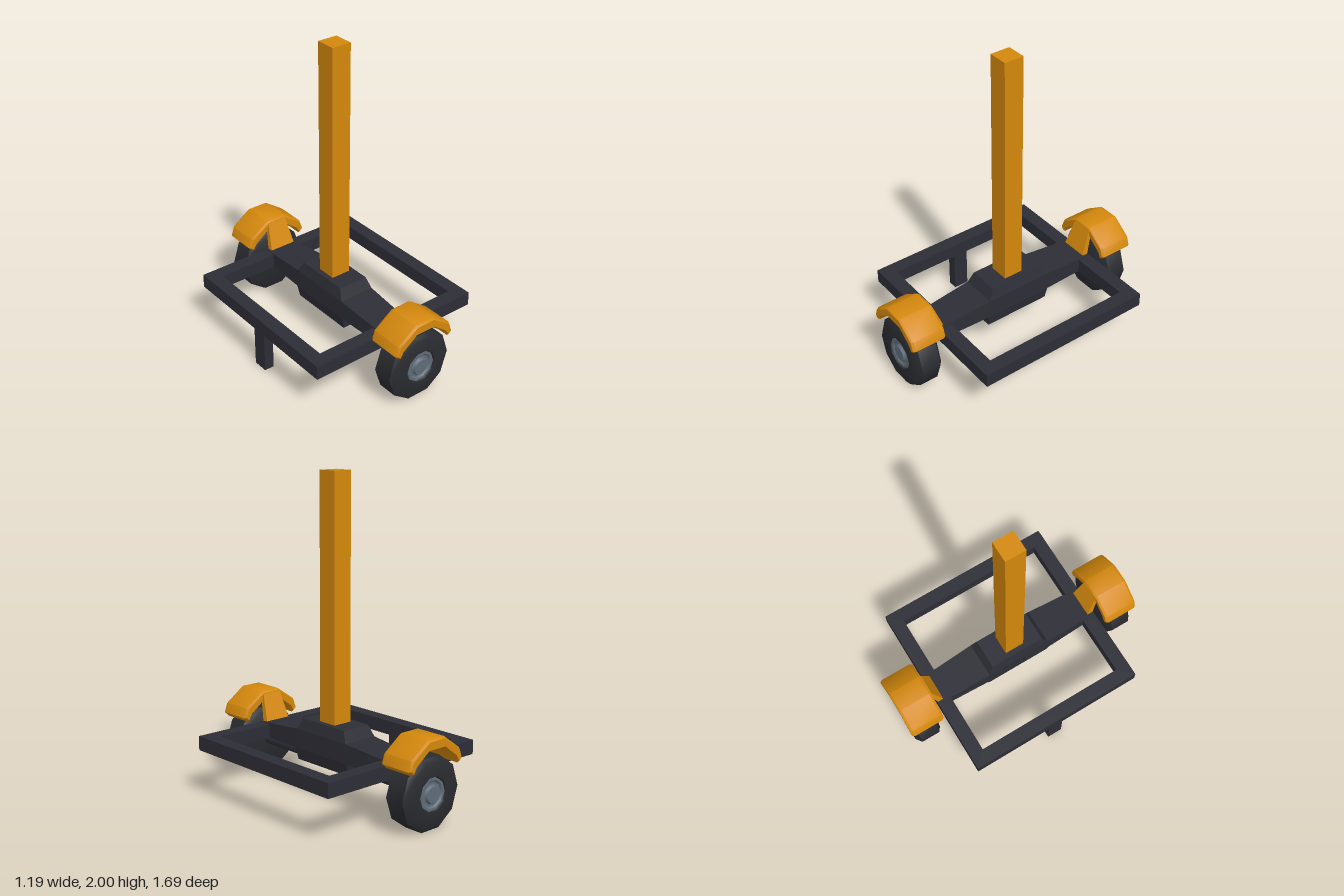
import * as THREE from 'three';
import { toCreasedNormals } from 'three/addons/utils/BufferGeometryUtils.js';

export function createModel() {
  const group = new THREE.Group();
  const mat = (name, color) => {
    const m = new THREE.MeshStandardMaterial({ color });
    m.name = name;
    return m;
  };
  const orange = mat('safety orange', 0xd4880c);
  const dark = mat('dark steel', 0x2d2d36);
  const rubber = mat('tyre rubber', 0x2a2b30);
  const grey = mat('hub grey', 0x5f6b78);

  const add = (parent, name, geo, material) => {
    const mesh = new THREE.Mesh(geo, material);
    mesh.name = name;
    parent.add(mesh);
    return mesh;
  };
  const flat = (geo) => {
    const g = geo.toNonIndexed();
    g.computeVertexNormals();
    return g;
  };
  // Box whose vertices are moved by a rule working on unit coordinates
  const shaped = (rule, depthSegments = 1) => {
    const g = new THREE.BoxGeometry(2, 2, 2, 1, 1, depthSegments);
    const p = g.attributes.position;
    for (let i = 0; i < p.count; i++) p.setXYZ(i, ...rule(p.getX(i), p.getY(i), p.getZ(i)));
    return flat(g);
  };
  // Tapered block: half sizes and z centre at bottom (b) and top (t)
  const taper = (y0, y1, b, t) => shaped((x, y, z) => {
    const [hx, hz, cz = 0] = y < 0 ? b : t;
    return [x * hx, y < 0 ? y0 : y1, cz + z * hz];
  });

  // Square base frame with an open middle
  const rect = (path, s) => {
    path.moveTo(-s, -s);
    path.lineTo(s, -s);
    path.lineTo(s, s);
    path.lineTo(-s, s);
    path.closePath();
    return path;
  };
  const frameShape = rect(new THREE.Shape(), 0.595);
  frameShape.holes.push(rect(new THREE.Path(), 0.505));
  const frameGeo = new THREE.ExtrudeGeometry(frameShape, { depth: 0.09, bevelEnabled: false });
  frameGeo.rotateX(-Math.PI / 2).translate(0, 0.28, 0);
  add(group, 'baseFrame', frameGeo, dark);

  // Centre beam, wider and taller toward the mast
  add(group, 'centreBeam', shaped((x, y, z) => {
    const end = Math.abs(z) > 0.9;
    return [x * (end ? 0.105 : 0.12), y < 0 ? 0.281 : end ? 0.371 : 0.405, Math.sign(z) * (end ? 0.59 : 0.22)];
  }, 3), dark);
  add(group, 'mastFoot', taper(0.405, 0.475, [0.12, 0.22], [0.1, 0.185]), dark);
  add(group, 'axleHousing', taper(0.205, 0.285, [0.105, 0.225], [0.119, 0.235]), dark);

  // Mast and support leg
  add(group, 'mast', taper(0.47, 2, [0.065, 0.065], [0.065, 0.065]), orange);
  add(group, 'supportLeg', taper(0, 0.285, [0.032, 0.05], [0.032, 0.05]), dark).position.x = -0.55;

  // Axle
  const axle = new THREE.CylinderGeometry(0.035, 0.035, 1.32, 12).rotateX(Math.PI / 2);
  add(group, 'axle', axle, dark).position.y = 0.225;

  // Ten-sided turned parts around the z axis
  const turned = (points) => {
    const pts = points.map(([r, z]) => new THREE.Vector2(r, z));
    const g = new THREE.LatheGeometry(pts, 10, Math.PI / 10).rotateX(Math.PI / 2);
    return toCreasedNormals(g, 0.7);
  };
  const tyreGeo = turned([[0, 0.648], [0.198, 0.65], [0.228, 0.672], [0.228, 0.798],
    [0.198, 0.82], [0.108, 0.82], [0.1, 0.8], [0, 0.8]]);
  const hubGeo = turned([[0.1, 0.802], [0.1, 0.815], [0.085, 0.815], [0.075, 0.805],
    [0.06, 0.805], [0.05, 0.822], [0, 0.822]]);

  // Mudguard arch with bevelled rims
  const half = [[0.063, 0.545], [0.187, 0.457], [0.205, 0.405], [0.187, 0.387], [0.165, 0.423], [0.066, 0.497]];
  const outline = [...half, ...half.map(([x, y]) => [-x, y]).reverse()];
  const archGeo = toCreasedNormals(new THREE.ExtrudeGeometry(
    new THREE.Shape(outline.map(([x, y]) => new THREE.Vector2(x, y))),
    { depth: 0.2, bevelThickness: 0.015, bevelSize: 0.01, bevelSegments: 1 }
  ).translate(0, 0, 0.63), 0.7);
  const bracketGeo = taper(0.365, 0.54, [0.09, 0.02, 0.568], [0.068, 0.012, 0.625]);

  // The same wheel assembly at the front and at the back
  ['front', 'back'].forEach((end, i) => {
    const side = new THREE.Group();
    side.name = end + 'WheelAssembly';
    side.rotation.y = i * Math.PI;
    add(side, end + 'Tyre', tyreGeo, rubber).position.y = 0.22;
    add(side, end + 'Hub', hubGeo, grey).position.y = 0.22;
    add(side, end + 'Mudguard', archGeo, orange);
    add(side, end + 'MudguardBracket', bracketGeo, orange);
    group.add(side);
  });

  return group;
}
